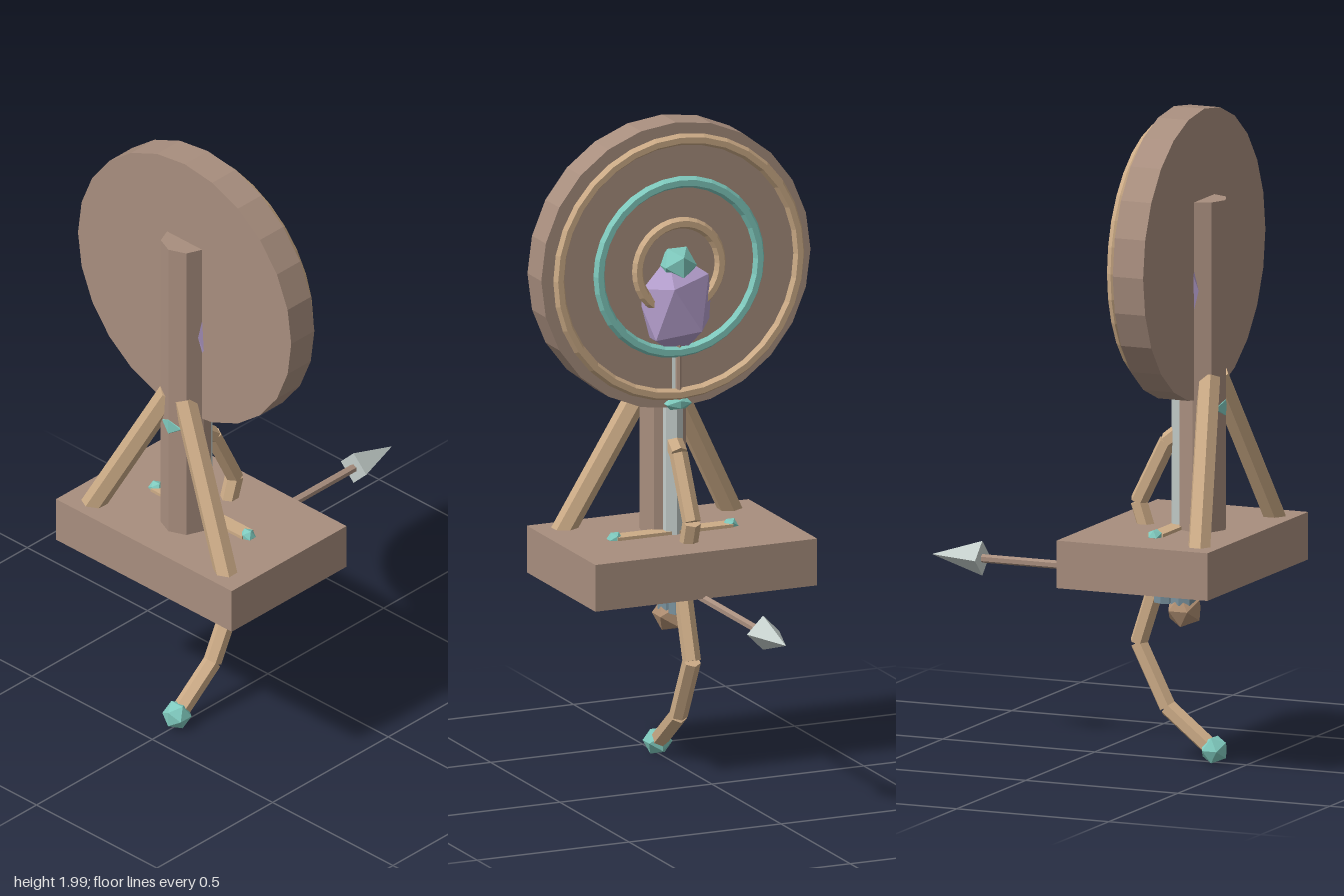
import * as THREE from 'three';

const paint = (name, color) => {
  const m = new THREE.MeshStandardMaterial({ color, flatShading: true });
  m.name = name;
  return m;
};

export function createModel() {
  const brown = paint('brown wood', 0xa88e7e);
  const tan = paint('tan wood', 0xcdac87);
  const teal = paint('teal', 0x80cbbf);
  const purple = paint('purple', 0xb39dcb);
  const steel = paint('pale steel', 0xc4cecb);
  const slate = paint('slate', 0x78909c);
  const leather = paint('leather', 0xb08f72);

  const model = new THREE.Group();
  const add = (name, geometry, material, x = 0, y = 0, z = 0) => {
    const mesh = new THREE.Mesh(geometry, material);
    mesh.name = name;
    mesh.position.set(x, y, z);
    model.add(mesh);
    return mesh;
  };
  const gem = (name, r, material, x, y, z) =>
    add(name, new THREE.IcosahedronGeometry(r, 0), material, x, y, z);
  // Cylinder running from point a to point b
  const rod = (name, a, b, r, sides, material, rTop = r) => {
    const from = new THREE.Vector3(...a), to = new THREE.Vector3(...b);
    const dir = to.clone().sub(from);
    const mesh = add(name, new THREE.CylinderGeometry(rTop, r, dir.length(), sides), material);
    mesh.position.copy(from).add(to).multiplyScalar(0.5);
    mesh.quaternion.setFromUnitVectors(new THREE.Vector3(0, 1, 0), dir.normalize());
    return mesh;
  };

  // Stand: base block, post and two braces
  add('base', new THREE.BoxGeometry(0.73, 0.145, 0.496), brown, 0, 0.652, 0.288);
  rod('post', [0, 0.65, 0.355], [0, 1.73, 0.355], 0.075, 8, brown);
  for (const s of [-1, 1])
    rod('brace', [s * 0.305, 0.66, 0.478], [s * 0.03, 1.19, 0.39], 0.036, 6, tan);

  // Target disc with three raised rings
  rod('targetDisc', [0, 1.56, 0.26], [0, 1.56, 0.36], 0.443, 24, brown);
  [[0.395, tan], [0.263, teal], [0.136, tan]].forEach(([r, material]) =>
    add('targetRing', new THREE.TorusGeometry(r, 0.018, 6, 32), material, 0, 1.56, 0.239));

  // Faceted ornament on the target
  const body = new THREE.IcosahedronGeometry(0.133, 0);
  body.rotateZ(-0.7).scale(1, 1.3, 1);
  add('ornamentBody', body, purple, 0, 1.44, 0.283);
  gem('ornamentTop', 0.06, teal, 0, 1.565, 0.252);
  rod('ornamentStem', [0, 1.33, 0.24], [0, 1.13, 0.24], 0.009, 6, brown);
  gem('ornamentFoot', 0.048, teal, 0, 1.135, 0.245).scale.set(1, 0.45, 0.5);

  // Sword standing through the base
  rod('swordBlade', [0, 0.72, 0.285], [0, 1.3, 0.285], 0.032, 6, steel);
  add('swordGuard', new THREE.BoxGeometry(0.38, 0.025, 0.05), tan, 0, 0.722, 0.285);
  for (const s of [-1, 1]) gem('guardGem', 0.025, teal, s * 0.19, 0.725, 0.285);
  rod('swordGrip', [0, 0.49, 0.295], [0, 0.72, 0.295], 0.044, 8, slate);
  gem('swordPommel', 0.058, leather, 0, 0.472, 0.295);

  // Bow, mirrored above and below its grip
  const bowY = 0.575;
  const limb = [[0, 0.215], [0.215, 0.145], [0.405, 0.24], [0.52, 0.385]];
  for (const s of [-1, 1]) {
    for (let i = 0; i < 3; i++)
      rod('bowLimb', [0, bowY + s * limb[i][0], limb[i][1]],
        [0, bowY + s * limb[i + 1][0], limb[i + 1][1]], 0.028, 6, tan);
    gem('bowTip', 0.045, teal, 0, bowY + s * 0.523, 0.393);
  }
  rod('bowGrip', [0, 0.49, 0.232], [0, 0.66, 0.232], 0.036, 8, slate);

  // Arrow pointing backwards
  rod('arrowShaft', [0, bowY, 0.24], [0, bowY, -0.38], 0.013, 6, brown);
  rod('arrowHead', [0, bowY, -0.37], [0, bowY, -0.536], 0.053, 4, steel, 0);
  add('arrowFletching', new THREE.BoxGeometry(0.09, 0.009, 0.1), teal, 0, bowY, 0.155);

  return model;
}
